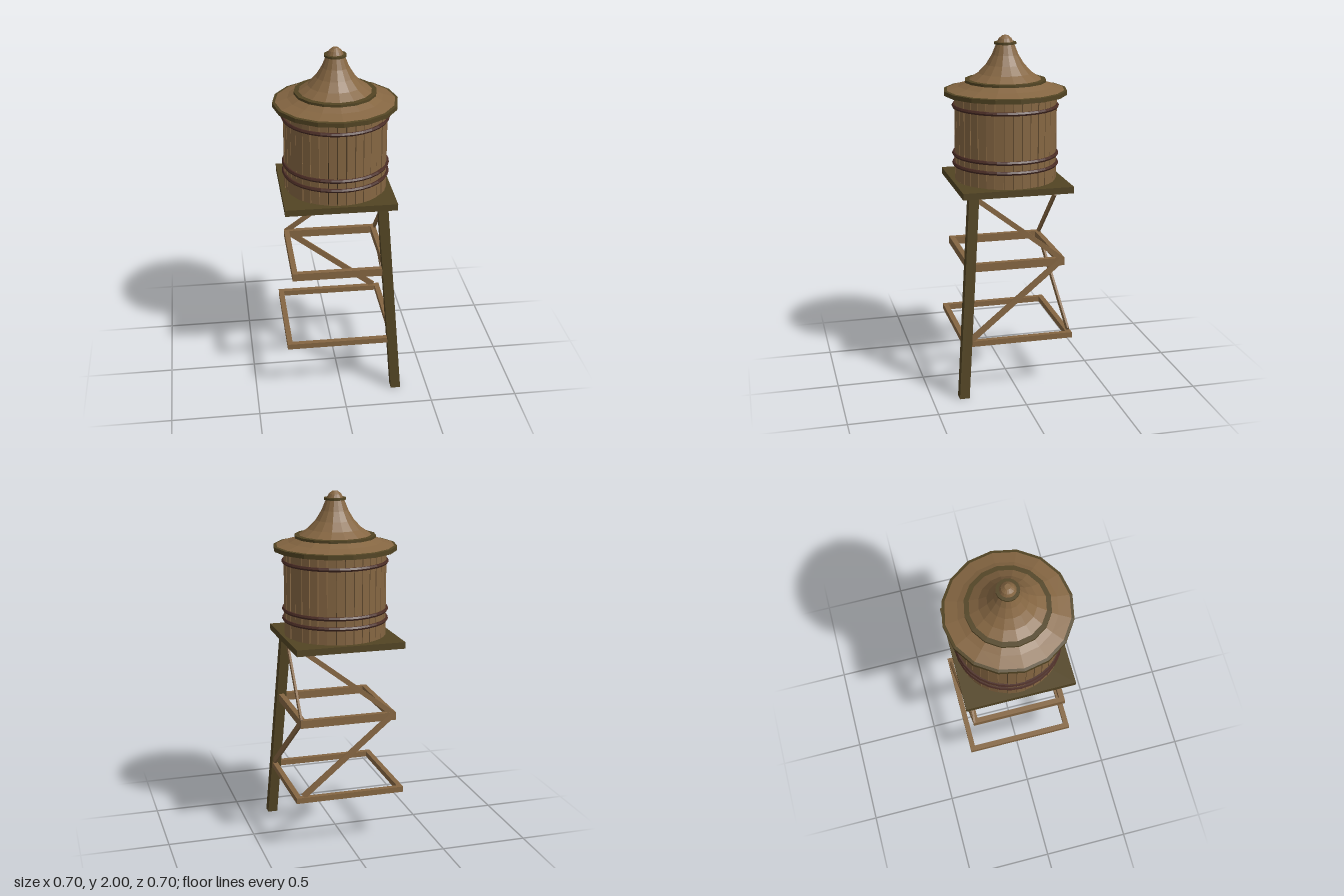
import * as THREE from 'three';

const wood = new THREE.MeshStandardMaterial({ color: 0x856642 });
wood.name = 'warm wood';
const timber = new THREE.MeshStandardMaterial({ color: 0x524423 });
timber.name = 'dark olive timber';
const iron = new THREE.MeshStandardMaterial({ color: 0x4a2c24 });
iron.name = 'rusty iron';
const gap = new THREE.MeshStandardMaterial({ color: 0x3a2d19 });
gap.name = 'shadow brown';

export function createModel() {
  const model = new THREE.Group();
  model.name = 'waterTower';

  // Faceted mesh helper
  function add(name, geometry, material, parent = model) {
    const flat = geometry.index ? geometry.toNonIndexed() : geometry;
    flat.computeVertexNormals();
    const mesh = new THREE.Mesh(flat, material);
    mesh.name = name;
    parent.add(mesh);
    return mesh;
  }
  function group(name) {
    const g = new THREE.Group();
    g.name = name;
    model.add(g);
    return g;
  }
  // Surface of revolution from [radius, y] pairs, bottom to top
  const turned = (points, sides = 16) =>
    new THREE.LatheGeometry(points.map(([r, y]) => new THREE.Vector2(r, y)), sides);

  // Plank between two points: height lies in the face, depth along the face normal
  function plank(name, a, b, normal, height, depth, parent) {
    const p = new THREE.Vector3(...a), q = new THREE.Vector3(...b);
    const along = q.clone().sub(p);
    const length = along.length();
    along.normalize();
    const up = new THREE.Vector3(...normal).cross(along).normalize();
    const out = along.clone().cross(up);
    const geometry = new THREE.BoxGeometry(length, height, depth);
    geometry.applyMatrix4(new THREE.Matrix4().makeBasis(along, up, out));
    geometry.translate(...p.add(q).multiplyScalar(0.5).toArray());
    add(name, geometry, wood, parent);
  }

  // Splayed corner leg: a box sheared outwards toward its foot
  const leg = new THREE.BoxGeometry(0.056, 1.16, 0.056).translate(0, 0.58, 0);
  const pos = leg.attributes.position;
  for (let i = 0; i < pos.count; i++) {
    const t = pos.getY(i) / 1.16;
    pos.setX(i, pos.getX(i) + 0.315 - 0.082 * t);
    pos.setZ(i, pos.getZ(i) + 0.32 - 0.082 * t);
  }
  add('leg', leg, timber);

  // Two square frames of rails
  const rails = group('rails');
  for (const [half, y, height] of [[0.278, 0.752, 0.045], [0.316, 0.316, 0.032]]) {
    const d = 0.03, c = half - d / 2;
    for (const s of [-1, 1]) {
      plank('rail', [-half, y, s * c], [half, y, s * c], [0, 0, 1], height, d, rails);
      plank('rail', [s * c, y, -half + d], [s * c, y, half - d], [1, 0, 0], height, d, rails);
    }
  }

  // Zigzag braces on the left and rear faces
  const braces = group('braces');
  const left = [[0.235, 1.14, 0.225], [0.272, 0.765, -0.265], [0.305, 0.335, 0.275]];
  const rear = [[0.225, 1.14, -0.232], [-0.265, 0.765, -0.272], [0.275, 0.335, -0.303]];
  for (const [path, normal] of [[left, [1, 0, 0]], [rear, [0, 0, 1]]]) {
    plank('upperBrace', path[0], path[1], normal, 0.028, 0.012, braces);
    plank('lowerBrace', path[1], path[2], normal, 0.034, 0.012, braces);
  }

  // Platform
  add('platform', new THREE.BoxGeometry(0.622, 0.037, 0.626).translate(-0.003, 1.174, -0.004), timber);

  // Tank: dark core wrapped in slightly uneven staves
  add('tankCore', new THREE.CylinderGeometry(0.272, 0.272, 0.49, 36).translate(0, 1.437, 0), gap);
  const staves = group('staves');
  let seed = 7;
  const rand = () => (seed = (seed * 16807) % 2147483647) / 2147483647 - 0.5;
  const count = 36;
  for (let i = 0; i < count; i++) {
    const geometry = new THREE.BoxGeometry(0.046 + 0.005 * rand(), 0.49, 0.02);
    geometry.rotateZ(0.012 * rand());
    geometry.translate(0, 1.437, 0.277 + 0.005 * rand());
    geometry.rotateY((i / count) * Math.PI * 2);
    add('stave', geometry, wood, staves);
  }

  // Iron hoops
  const hoops = group('hoops');
  for (const y of [1.612, 1.34, 1.284]) {
    add('hoop', turned([
      [0.282, y - 0.01], [0.296, y - 0.01], [0.302, y], [0.296, y + 0.01], [0.282, y + 0.01],
    ], 32), iron, hoops);
  }

  // Roof, bottom to top
  add('eave', turned([[0, 1.676], [0.348, 1.676], [0.348, 1.7], [0.33, 1.703]]), timber);
  add('lowerRoof', turned([[0.338, 1.701], [0.265, 1.722], [0.205, 1.75]]), wood);
  add('roofCollar', turned([[0.19, 1.744], [0.229, 1.744], [0.229, 1.758], [0.19, 1.76]]), timber);
  add('upperRoof', turned([
    [0.203, 1.759], [0.152, 1.793], [0.108, 1.84], [0.075, 1.894], [0.05, 1.956],
  ]), wood);
  add('capCollar', turned([[0, 1.952], [0.062, 1.952], [0.062, 1.964], [0, 1.966]]), timber);
  add('cap', turned([[0.045, 1.964], [0.035, 1.984], [0.016, 2.0], [0, 2.0]]), wood);

  return model;
}
